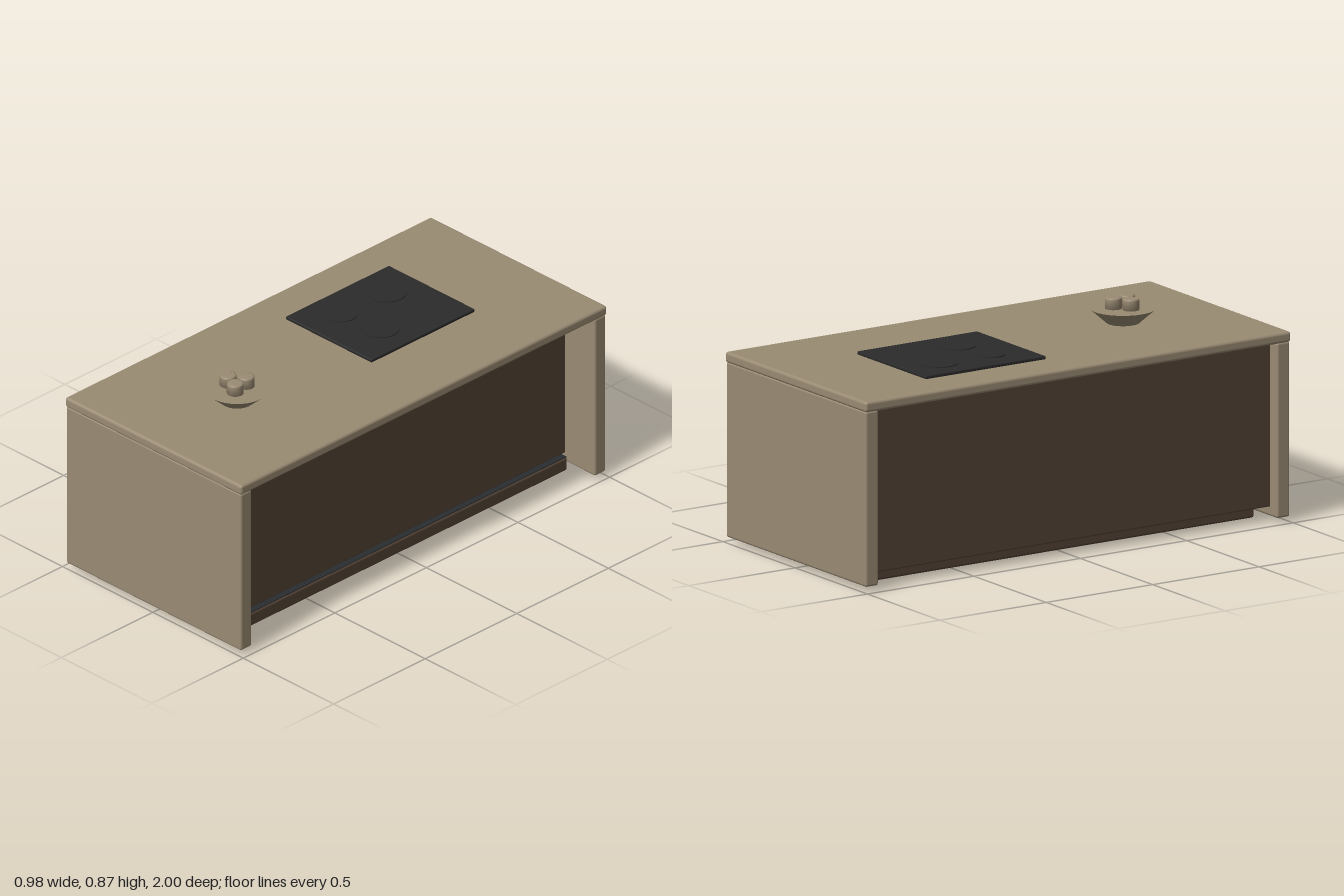
import * as THREE from 'three';
import { RoundedBoxGeometry } from 'three/addons/geometries/RoundedBoxGeometry.js';

const material = (name, color) => {
  const m = new THREE.MeshStandardMaterial({ color });
  m.name = name;
  return m;
};

export function createModel() {
  const stone = material('tan stone', 0x9a8b73);
  const wood = material('dark brown wood', 0x544336);
  const glass = material('black glass', 0x2b2b2b);
  const slate = material('slate strip', 0x292d2f);

  const model = new THREE.Group();
  model.name = 'kitchenIsland';

  const add = (name, geometry, mat, x = 0, y = 0, z = 0) => {
    const mesh = new THREE.Mesh(geometry, mat);
    mesh.name = name;
    mesh.position.set(x, y, z);
    model.add(mesh);
    return mesh;
  };

  // Box given by its minimum and maximum corners, with rounded edges
  const block = (name, mat, [x0, y0, z0], [x1, y1, z1], radius) =>
    add(name, new RoundedBoxGeometry(x1 - x0, y1 - y0, z1 - z0, 3, radius), mat,
      (x0 + x1) / 2, (y0 + y1) / 2, (z0 + z1) / 2);

  // Worktop and the two end panels
  block('countertop', stone, [-0.488, 0.722, -1], [0.488, 0.765, 1], 0.012);
  block('frontPanel', stone, [-0.484, 0.022, 0.936], [0.484, 0.726, 0.997], 0.01);
  block('backPanel', stone, [-0.484, 0.022, -0.997], [0.484, 0.726, -0.936], 0.01);

  // Cabinet set back on the seating side, on a plinth
  block('cabinet', wood, [-0.435, 0.06, -0.942], [0.318, 0.724, 0.942], 0.006);
  block('plinth', wood, [-0.348, 0, -0.922], [0.347, 0.059, 0.922], 0.01);
  add('plinthStrip', new THREE.BoxGeometry(0.04, 0.004, 1.84), slate, 0.322, 0.059, 0);

  // Cooktop with three round burner plates
  block('cooktop', glass, [-0.315, 0.764, -0.6], [0.16, 0.778, -0.036], 0.004);
  for (const [x, z, r] of [[-0.172, -0.445, 0.079], [-0.172, -0.2, 0.06], [0.012, -0.232, 0.074]]) {
    add('burner', new THREE.CylinderGeometry(r, r, 0.006, 48), glass, x, 0.779, z);
  }

  // Flared bowl
  add('bowl', new THREE.CylinderGeometry(0.13, 0.065, 0.058, 48), stone, 0, 0.794, 0.54);

  // Three rounded drums standing in the bowl
  const drum = new THREE.LatheGeometry([
    [0, 0], [0.033, 0], [0.033, 0.049], [0.0315, 0.054], [0.027, 0.056], [0, 0.056],
  ].map(([r, y]) => new THREE.Vector2(r, y)), 32);
  for (const [x, z] of [[0.015, 0.505], [-0.041, 0.549], [0.024, 0.574]]) {
    add('fruit', drum, stone, x, 0.812, z);
  }

  return model;
}
